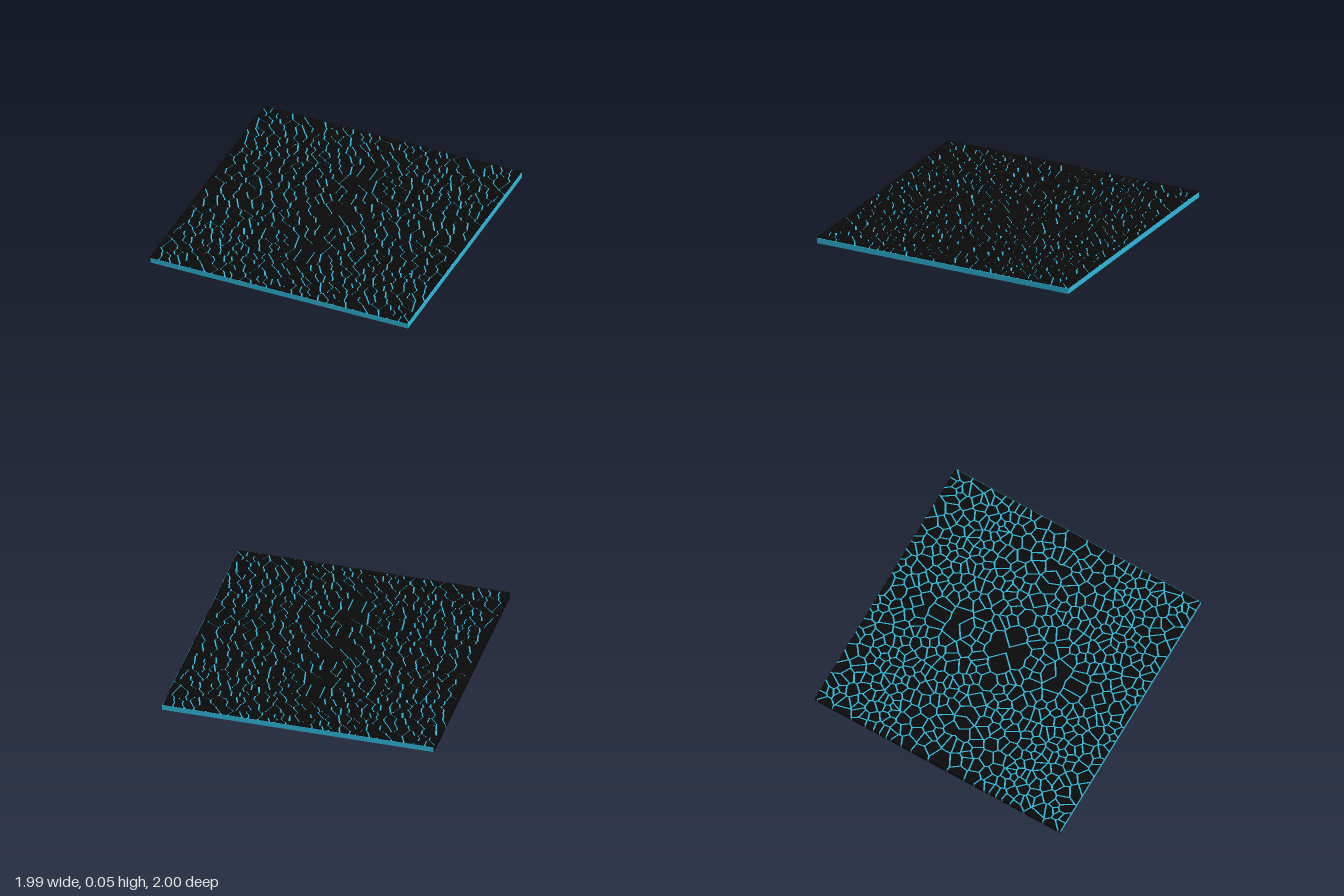
import * as THREE from 'three';

const HALF_X = 0.9925, HALF_Z = 0.998, SHIFT_X = -0.0025;
const GAP = 0.012, TILE_TOP = 0.05, GROUT_TOP = 0.04;

// Small seeded generator
function seeded(seed) {
  return () => {
    seed = (Math.imul(seed, 1664525) + 1013904223) >>> 0;
    return seed / 4294967296;
  };
}

// Cell centres of one quadrant: the large cells first (x, z, clearance), then a random fill
function cellCentres() {
  const points = [
    [0.03, 0.56, 0.1], [0.07, 0.56, 0.09], [0.065, 0.69, 0.07], [0.005, 0.75, 0.04],
    [0.065, 0.4, 0.06], [0.02, 0.33, 0.05], [0.3, 0.28, 0.08], [0.27, 0.02, 0.07],
    [0.13, 0.02, 0.06], [0.66, 0.26, 0.07], [0.78, 0.28, 0.07], [0.94, 0.02, 0.05],
    [0.9, 0.1, 0.07], [0.95, 0.27, 0.07], [0.87, 0.17, 0.06], [0.55, 0.03, 0.06],
    [0.17, 0.42, 0.06], [0.35, 0.76, 0.06], [0.68, 0.95, 0.06], [0.28, 0.58, 0.06],
  ];
  const random = seeded(41);
  for (let tries = 0; points.length < 185 && tries < 20000; tries++) {
    const x = random() * HALF_X, z = random() * HALF_Z;
    if (points.every((p) => Math.hypot(p[0] - x, p[1] - z) > (p[2] ?? 0.036))) points.push([x, z]);
  }
  return points;
}

// Keep the part of a polygon where nx * x + nz * z <= limit
function clip(polygon, nx, nz, limit) {
  const kept = [];
  polygon.forEach((a, i) => {
    const b = polygon[(i + 1) % polygon.length];
    const da = nx * a[0] + nz * a[1] - limit;
    const db = nx * b[0] + nz * b[1] - limit;
    if (da <= 0) kept.push(a);
    if (da * db < 0) {
      const t = da / (da - db);
      kept.push([a[0] + t * (b[0] - a[0]), a[1] + t * (b[1] - a[1])]);
    }
  });
  return kept;
}

// Voronoi cells of the quadrant, each drawn back by half a gap from its neighbours
function quadrantCells() {
  const centres = cellCentres();
  return centres.map((c) => {
    let cell = [[0, 0], [HALF_X, 0], [HALF_X, HALF_Z], [0, HALF_Z]];
    for (const n of centres) {
      if (n === c) continue;
      const dx = n[0] - c[0], dz = n[1] - c[1], d = Math.hypot(dx, dz);
      const nx = dx / d, nz = dz / d;
      const middle = nx * (c[0] + n[0]) / 2 + nz * (c[1] + n[1]) / 2;
      cell = clip(cell, nx, nz, middle - GAP / 2);
    }
    return cell;
  }).filter((cell) => cell.length > 2);
}

export function createModel() {
  const group = new THREE.Group();
  group.name = 'mosaicPanel';

  // Blue slab that shows between the tiles
  const slabBottom = 0.0008;
  const grout = new THREE.Mesh(
    new THREE.BoxGeometry(1.985, GROUT_TOP - slabBottom, 2),
    new THREE.MeshStandardMaterial({ color: 0x2fb8dc })
  );
  grout.name = 'grout';
  grout.position.set(0.0025, (GROUT_TOP + slabBottom) / 2, 0);
  group.add(grout);

  // Black tiles, mirrored into all four quadrants
  const cells = quadrantCells();
  const tileMaterial = new THREE.MeshStandardMaterial({ color: 0x0b0b0b });
  for (const sx of [-1, 1]) {
    for (const sz of [-1, 1]) {
      const shapes = cells.map(
        (cell) => new THREE.Shape(cell.map(([x, z]) => new THREE.Vector2(sx * x, -sz * z)))
      );
      const geometry = new THREE.ExtrudeGeometry(shapes, { depth: TILE_TOP, bevelEnabled: false });
      geometry.rotateX(-Math.PI / 2);
      const tiles = new THREE.Mesh(geometry, tileMaterial);
      tiles.name = `${sz > 0 ? 'front' : 'back'}${sx > 0 ? 'Left' : 'Right'}Tiles`;
      tiles.position.x = SHIFT_X;
      group.add(tiles);
    }
  }
  return group;
}
